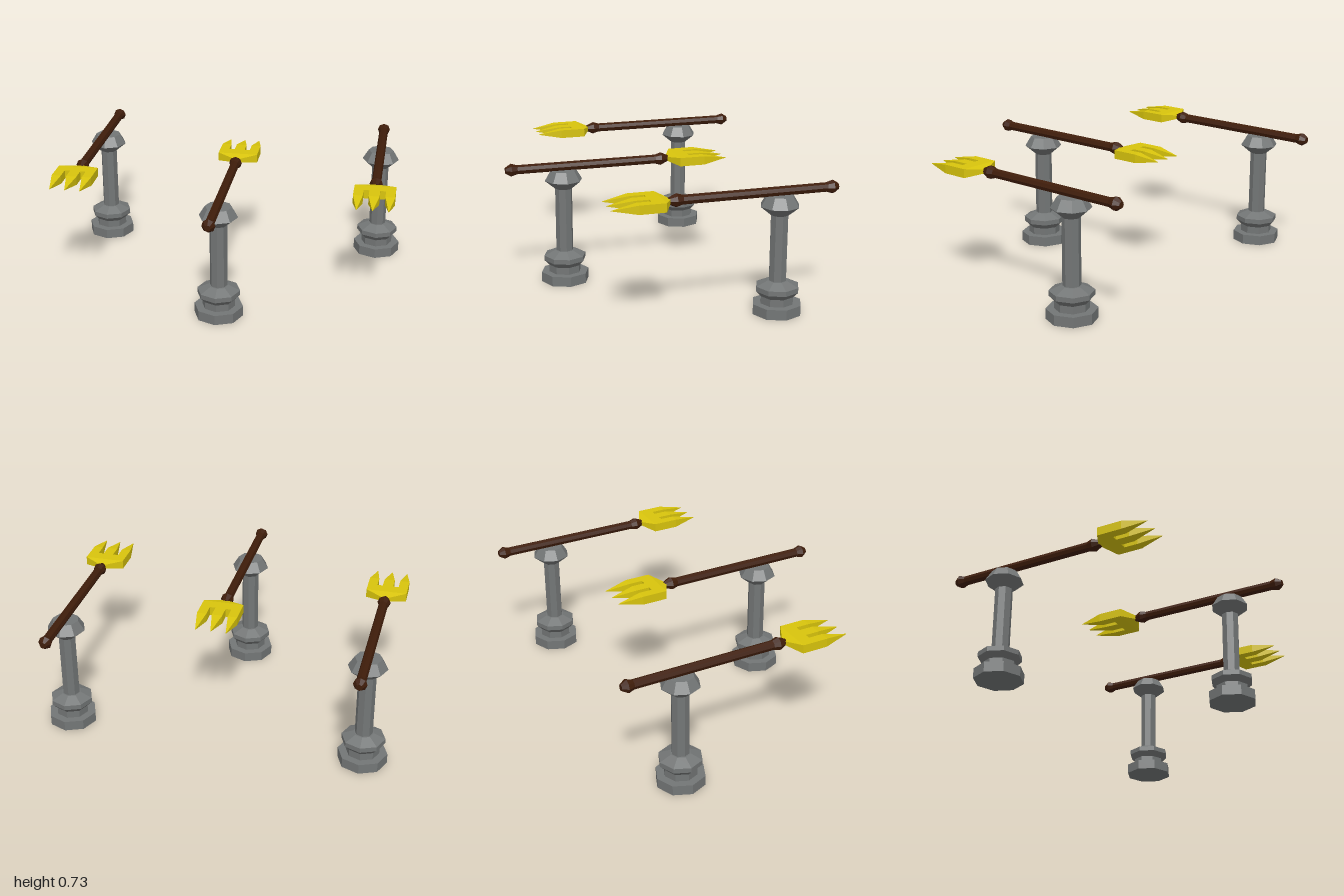
import * as THREE from 'three';

const make = (name, color) => {
  const m = new THREE.MeshStandardMaterial({ color, flatShading: true });
  m.name = name;
  return m;
};

// Eight-sided turned shape from [radius, height] pairs
const turned = (profile) =>
  new THREE.LatheGeometry(profile.map(([r, y]) => new THREE.Vector2(r, y)), 8);

// Solid through rectangular sections [z, xMin, xMax, halfThickness]
function loft(sections) {
  const pos = [], idx = [];
  for (const [z, x0, x1, h] of sections) pos.push(x0, -h, z, x1, -h, z, x1, h, z, x0, h, z);
  for (let s = 0; s < sections.length - 1; s++) {
    for (let i = 0; i < 4; i++) {
      const a = s * 4 + i, b = s * 4 + (i + 1) % 4;
      idx.push(a, b, b + 4, a, b + 4, a + 4);
    }
  }
  const e = (sections.length - 1) * 4;
  idx.push(0, 2, 1, 0, 3, 2, e, e + 1, e + 2, e, e + 2, e + 3);
  const g = new THREE.BufferGeometry();
  g.setAttribute('position', new THREE.Float32BufferAttribute(pos, 3));
  g.setIndex(idx);
  const flat = g.toNonIndexed();
  flat.computeVertexNormals();
  return flat;
}

export function createModel() {
  const stone = make('grey stone', 0x737676);
  const wood = make('dark wood', 0x3f1d0a);
  const gold = make('yellow metal', 0xd8c40c);

  // Stepped base, collar, shaft and capital
  const pedestalGeo = turned([
    [0, 0], [0.14, 0], [0.14, 0.058], [0.094, 0.058], [0.094, 0.1],
    [0.123, 0.13], [0.123, 0.158], [0.058, 0.187], [0.05, 0.187], [0.05, 0.56],
    [0.11, 0.61], [0.075, 0.668], [0, 0.668],
  ]);

  // Pole with a knob at each end, laid along z
  const poleGeo = turned([
    [0, -0.832], [0.018, -0.832], [0.038, -0.8], [0.027, -0.765],
    [0.027, 0.055], [0.038, 0.09], [0.018, 0.135], [0, 0.135],
  ]).rotateX(Math.PI / 2);

  // Fork head and its three tapered tines
  const headGeo = loft([
    [0.128, -0.02, 0.02, 0.012], [0.177, -0.116, 0.116, 0.025], [0.246, -0.116, 0.116, 0.025],
  ]);
  const tine = (x0, x1, tip) => loft([
    [0.246, x0, x1, 0.025], [0.325, x0, x1, 0.025], [0.467, tip - 0.001, tip + 0.001, 0.001],
  ]);
  const tines = [tine(-0.116, -0.062, -0.087), tine(-0.03, 0.03, 0), tine(0.062, 0.116, 0.087)];

  const model = new THREE.Group();
  model.name = 'forkStands';

  const stands = [['rightStand', -0.86, false], ['middleStand', 0.021, true], ['leftStand', 0.858, false]];
  for (const [name, x, turnedRound] of stands) {
    const stand = new THREE.Group();
    stand.name = name;
    stand.position.x = x;
    if (turnedRound) stand.rotation.y = Math.PI;

    const add = (part, geo, mat, y, z = 0) => {
      const mesh = new THREE.Mesh(geo, mat);
      mesh.name = part;
      mesh.position.set(0, y, z);
      stand.add(mesh);
    };
    add('pedestal', pedestalGeo, stone, 0, -0.496);
    add('pole', poleGeo, wood, 0.69);
    add('forkHead', headGeo, gold, 0.69);
    tines.forEach((g, i) => add('tine' + (i + 1), g, gold, 0.69));
    model.add(stand);
  }
  return model;
}
